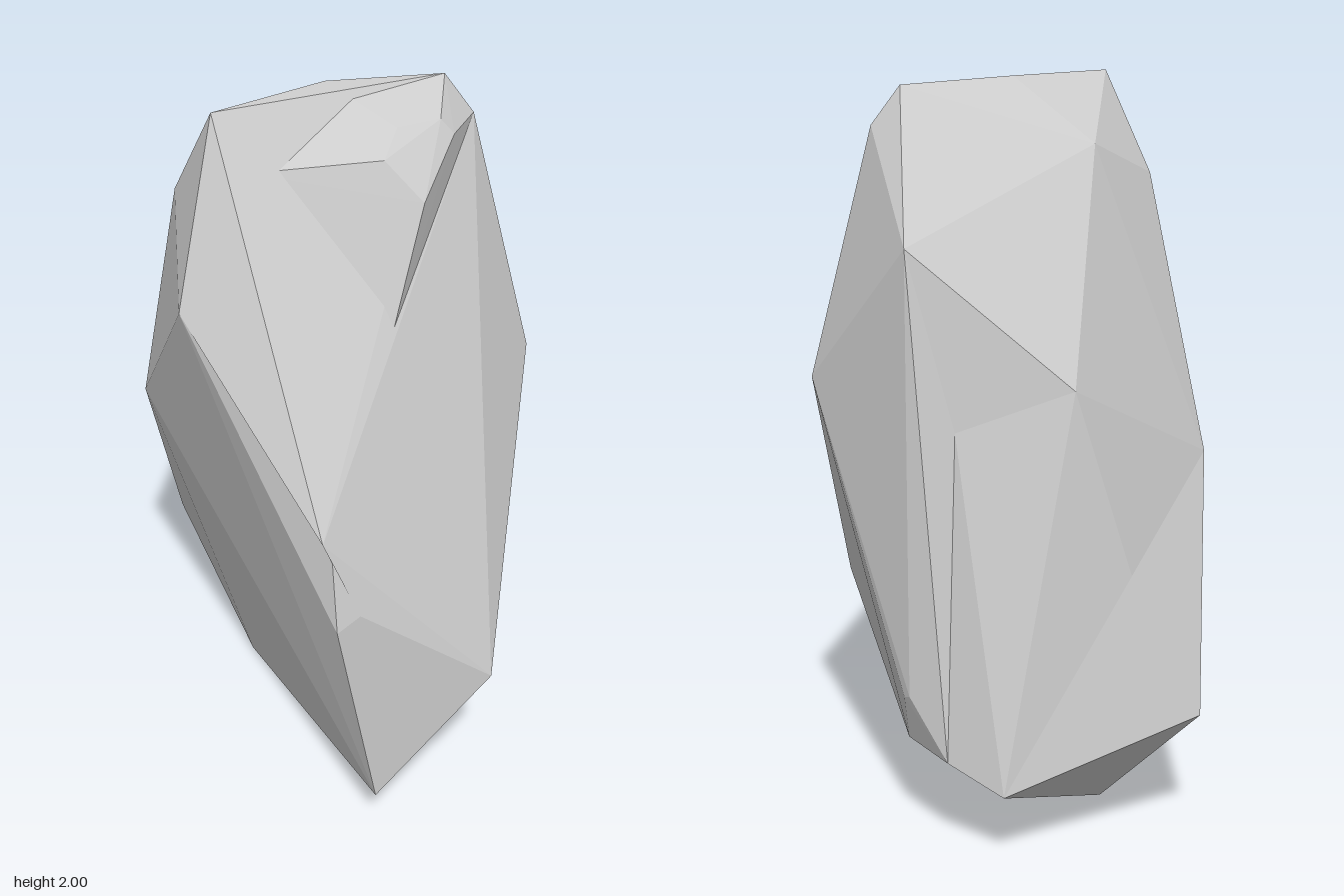
import * as THREE from 'three';
import { ConvexGeometry } from 'three/addons/geometries/ConvexGeometry.js';

const v = (x, y, z) => new THREE.Vector3(x, y, z);

// Bend the hull edge a-b through point p: every triangle on that edge is split in two
function bendEdge(tris, a, b, p) {
  const at = (t, q) => t.findIndex((c) => c.distanceTo(q) < 1e-4);
  return tris.flatMap((t) => {
    const i = at(t, a), j = at(t, b);
    if (i < 0 || j < 0) return [t];
    return [i, j].map((k) => t.map((c, n) => (n === k ? p : c)));
  });
}

// Faceted solid around the points, with optional bent edges
function facetedSolid(points, bends = []) {
  const pos = new ConvexGeometry(points).getAttribute('position');
  let tris = [];
  for (let i = 0; i < pos.count; i += 3) {
    tris.push([0, 1, 2].map((k) => new THREE.Vector3().fromBufferAttribute(pos, i + k)));
  }
  for (const [a, b, p] of bends) tris = bendEdge(tris, a, b, p);
  const geometry = new THREE.BufferGeometry().setFromPoints(tris.flat());
  geometry.computeVertexNormals();
  return geometry;
}

export function createModel() {
  const group = new THREE.Group();
  group.name = 'rock';
  const material = new THREE.MeshStandardMaterial({ color: 0xcccccc, flatShading: true });

  // Corners shared by the body and the cap
  const peak = v(0, 2, 0.01);
  const brow = v(-0.055, 1.845, 0.29);
  const topBack = v(0.22, 1.985, -0.22);
  const shoulder = v(0.29, 1.88, -0.255);

  // Corners joined by bent edges
  const back = v(0.07, 1.6, -0.49);
  const backFoot = v(-0.25, 0.2, -0.58);
  const flank = v(-0.34, 1.24, -0.34);
  const sideFoot = v(-0.64, 0.35, -0.18);
  const lip = v(0.33, 1.03, 0.575);
  const chin = v(0.37, 0.76, 0.57);

  // Main body
  const body = [
    peak, brow, topBack, shoulder, back, backFoot, flank, sideFoot, lip, chin,
    v(-0.14, 2, 0.32), v(-0.24, 1.83, 0.01), v(-0.3, 1.73, 0.26), // top left
    v(-0.14, 1.52, 0.49), v(-0.52, 0.99, 0.14), v(0.41, 0.8, 0.52), // front
    v(0.45, 1.2, -0.32), v(0.64, 0.47, 0.2), // +x side
    v(-0.3, 0, -0.05), v(0.35, 0.06, 0.03), v(0.43, 0.14, 0.46), // base
    v(0.04, 0.42, -0.548), v(0.065, 0.41, -0.53), // chipped back corner
    v(0.084, 0.27, -0.47), v(-0.08, 0.26, -0.565),
  ];
  const bends = [
    [back, backFoot, v(-0.06, 1.13, -0.47)],
    [flank, sideFoot, v(-0.47, 0.74, -0.26)],
    [lip, chin, v(0.345, 0.985, 0.555)],
  ];
  const bodyMesh = new THREE.Mesh(facetedSolid(body, bends), material);
  bodyMesh.name = 'rockBody';
  group.add(bodyMesh);

  // Raised cap on the upper +x side, rooted inside the body
  const cap = [
    peak, brow, topBack, shoulder,
    v(0.22, 1.865, 0.09), v(0.32, 1.76, 0.06), v(0.3, 1.39, 0.2),
    v(0.21, 1.92, 0.01), v(0.28, 1.922, -0.09), v(0.31, 1.88, -0.11),
    v(0, 1.5, 0),
  ];
  const capMesh = new THREE.Mesh(facetedSolid(cap), material);
  capMesh.name = 'rockCap';
  group.add(capMesh);

  return group;
}
